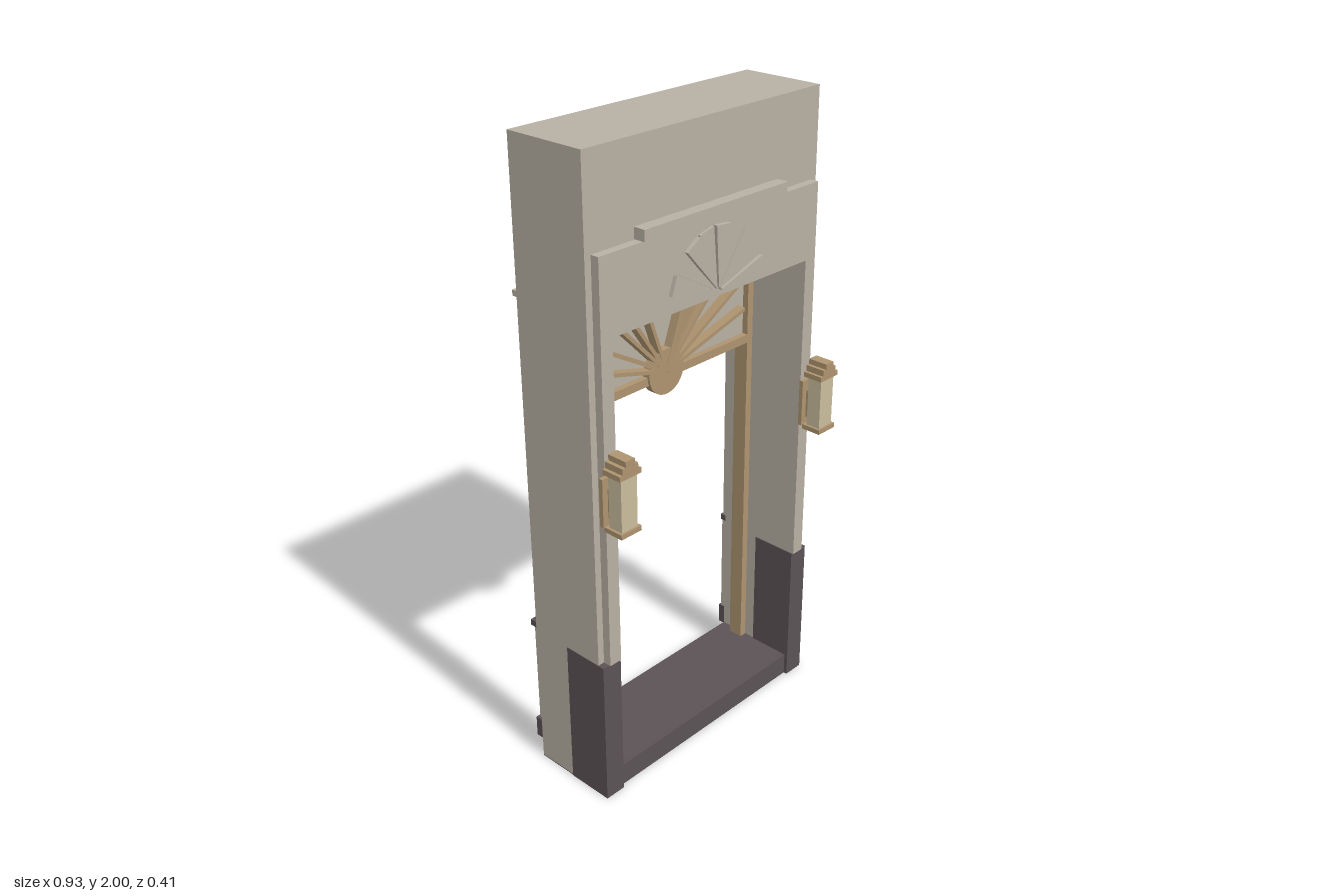
import * as THREE from 'three';

const mat = (name, color) => new THREE.MeshStandardMaterial({ name, color });

export function createModel() {
  const stone = mat('stone', 0xb8b0a3);
  const dark = mat('darkStone', 0x5b5355);
  const wood = mat('wood', 0xae9470);
  const cream = mat('lanternGlass', 0xcabd9c);

  const root = new THREE.Group();
  root.name = 'doorway';

  function add(parent, name, geometry, material) {
    const mesh = new THREE.Mesh(geometry, material);
    mesh.name = name;
    parent.add(mesh);
    return mesh;
  }
  // Box given by its limits on each axis
  function block(parent, name, material, x0, x1, y0, y1, z0, z1) {
    const mesh = add(parent, name, new THREE.BoxGeometry(x1 - x0, y1 - y0, z1 - z0), material);
    mesh.position.set((x0 + x1) / 2, (y0 + y1) / 2, (z0 + z1) / 2);
    return mesh;
  }
  // Outline extruded from z0 to z1
  function slab(parent, name, material, shape, z0, z1) {
    const geometry = new THREE.ExtrudeGeometry(shape, { depth: z1 - z0, bevelEnabled: false, curveSegments: 24 });
    return add(parent, name, geometry.translate(0, 0, z0), material);
  }
  const polygon = (points) => new THREE.Shape(points.map(([x, y]) => new THREE.Vector2(x, y)));
  // Upside-down U: outer half width and top, inner half width and top
  const arch = (w, top, iw, itop, y0) => polygon([
    [-w, y0], [-iw, y0], [-iw, itop], [iw, itop], [iw, y0], [w, y0], [w, top], [-w, top],
  ]);

  // Wall with its opening, and the raised front surround
  const wallShape = polygon([[-0.46, 0.003], [0.46, 0.003], [0.46, 2], [-0.46, 2]]);
  wallShape.holes.push(polygon([[-0.395, 0.068], [-0.395, 1.5], [0.395, 1.5], [0.395, 0.068]]));
  slab(root, 'wall', stone, wallShape, -0.18, 0.09);
  slab(root, 'frontSurround', stone, arch(0.438, 1.73, 0.395, 1.5, 0.485), 0.09, 0.117);
  block(root, 'frontCornice', stone, -0.285, 0.285, 1.732, 1.765, 0.09, 0.128);

  // Carved fan over the opening
  const carvedFan = new THREE.Group();
  carvedFan.name = 'carvedFan';
  carvedFan.position.set(0, 1.52, 0);
  root.add(carvedFan);
  for (let i = 0; i < 9; i++) {
    const a = THREE.MathUtils.degToRad(i * 19);
    const b = a + THREE.MathUtils.degToRad(17.5);
    const at = (r, t) => [r * Math.cos(t), r * Math.sin(t)];
    slab(carvedFan, 'fanBlade', stone,
      polygon([at(0.012, a), at(0.19, a), at(0.19, b), at(0.012, b)]), 0.117, i % 2 ? 0.124 : 0.13);
  }

  // Sill and underside
  block(root, 'sillTop', dark, -0.395, 0.395, 0.068, 0.075, -0.18, 0.09);
  block(root, 'sillFront', dark, -0.394, 0.394, 0.003, 0.074, 0.085, 0.1);
  block(root, 'underside', dark, -0.46, 0.46, 0, 0.003, -0.18, 0.1);

  // Back header
  block(root, 'backHeader', stone, -0.44, 0.44, 1.5, 1.548, -0.192, -0.18);
  block(root, 'backHeaderCap', stone, -0.455, 0.455, 1.548, 1.565, -0.203, -0.18);

  for (const s of [-1, 1]) {
    const side = (name, material, x0, x1, ...rest) =>
      block(root, name, material, Math.min(s * x0, s * x1), Math.max(s * x0, s * x1), ...rest);
    // Dark plinths, back pilasters and door frame posts
    side('plinth', dark, 0.392, 0.462, 0, 0.485, -0.042, 0.112);
    side('backPilaster', stone, 0.397, 0.44, 0.51, 1.5, -0.192, -0.18);
    side('backPilasterBead', stone, 0.425, 0.44, 0.51, 1.5, -0.196, -0.192);
    side('backPilasterLower', stone, 0.397, 0.452, 0.14, 0.49, -0.196, -0.18);
    side('backPilasterBand', dark, 0.396, 0.461, 0.49, 0.51, -0.202, -0.18);
    side('backPilasterFoot', dark, 0.396, 0.461, 0.07, 0.14, -0.204, -0.18);

    // Wall lantern
    const lantern = new THREE.Group();
    lantern.name = 'lantern';
    lantern.position.x = s * 0.425;
    root.add(lantern);
    const part = (name, material, w, ...rest) => block(lantern, name, material, -w, w, ...rest);
    part('lanternBackPlate', wood, 0.037, 0.965, 1.115, 0.119, 0.132);
    part('lanternBracket', wood, 0.018, 0.99, 1.08, 0.132, 0.152);
    part('lanternBase', wood, 0.038, 0.957, 0.972, 0.137, 0.203);
    part('lanternBody', cream, 0.03, 0.972, 1.135, 0.148, 0.196);
    part('lanternCap', wood, 0.04, 1.135, 1.151, 0.137, 0.203);
    part('lanternCapMiddle', wood, 0.029, 1.151, 1.17, 0.137, 0.203);
    part('lanternCapTop', wood, 0.017, 1.17, 1.187, 0.137, 0.203);
  }

  // Wooden door frame and transom
  slab(root, 'doorFrame', wood, arch(0.394, 1.499, 0.37, 1.477, 0.075), -0.13, -0.08);
  block(root, 'transomBar', wood, -0.37, 0.37, 1.188, 1.215, -0.13, -0.08);
  block(root, 'transomPanel', stone, -0.37, 0.37, 1.215, 1.477, -0.11, -0.1);

  // Sunburst: hub with rays
  const sunburst = new THREE.Group();
  sunburst.name = 'sunburst';
  sunburst.position.set(0, 1.215, 0);
  root.add(sunburst);
  const hub = new THREE.CylinderGeometry(0.072, 0.072, 0.03, 32).rotateX(Math.PI / 2);
  add(sunburst, 'sunburstHub', hub, wood).position.z = -0.087;
  const tips = [[0.345, 0.095], [0.31, 0.178], [0.25, 0.256], [0.175, 0.256], [0.093, 0.256]];
  for (const s of [-1, 1]) {
    for (const [x, y] of tips) {
      const length = Math.hypot(x, y);
      const ray = block(sunburst, 'sunburstRay', wood, 0, length, -0.006, 0.006, -0.1, -0.07);
      ray.position.set(s * x / 2, y / 2, -0.085);
      ray.rotation.z = Math.atan2(y, s * x);
    }
  }
  return root;
}
